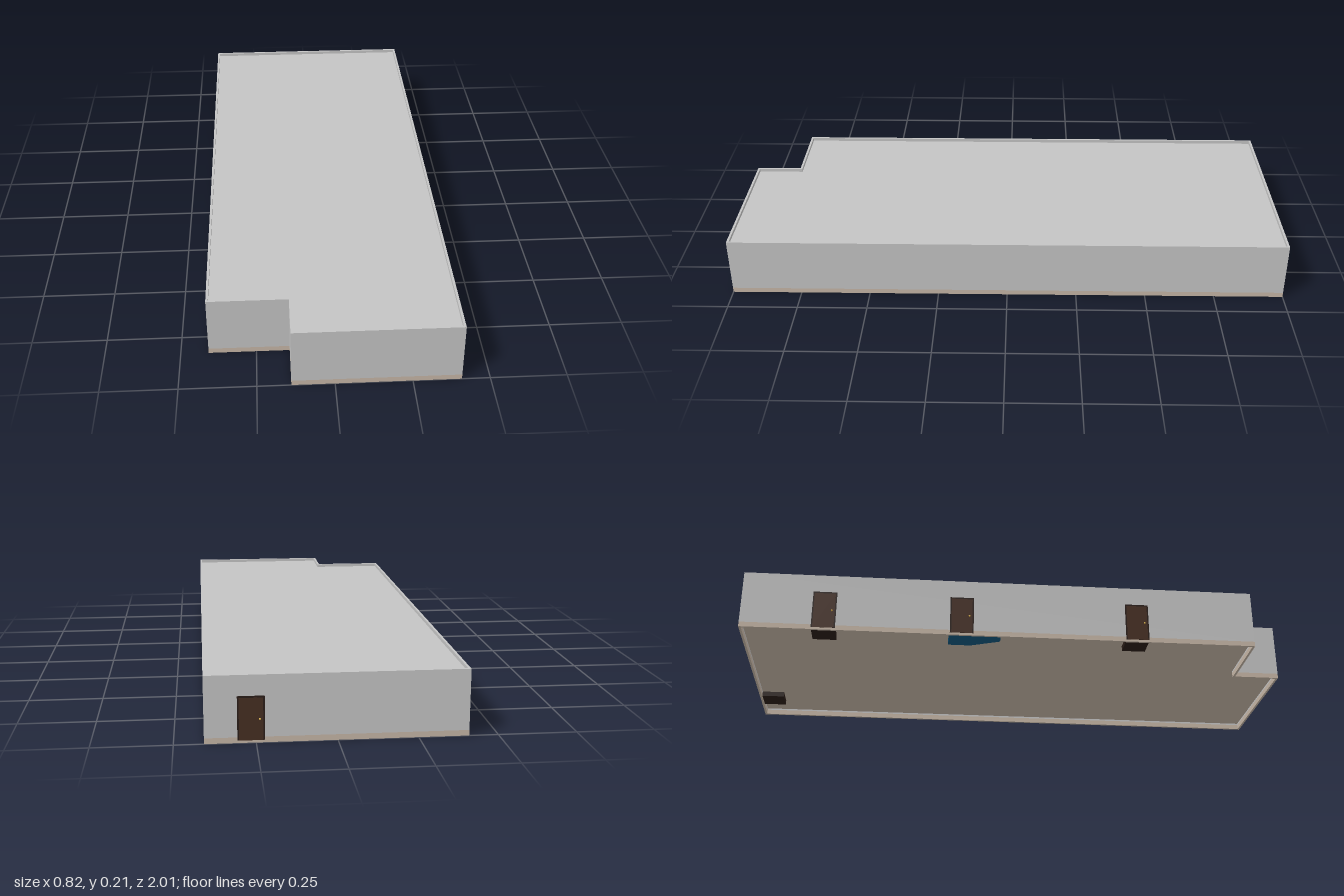
import * as THREE from 'three';

const material = (name, color) => {
  const m = new THREE.MeshStandardMaterial({ color });
  m.name = name;
  return m;
};

// Footprint with a notched front corner, inset by t; plan y is -z
function outline(t, Type = THREE.Shape) {
  const x = 0.408 - t, z = 1 - t, nx = -0.14 + t, nz = 0.832 - t;
  return new Type([
    [-x, -nz], [nx, -nz], [nx, -z], [x, -z], [x, z], [-x, z],
  ].map(([a, b]) => new THREE.Vector2(a, b)));
}

export function createModel() {
  const group = new THREE.Group();
  const grey = material('wall grey', 0xc4c4c4);
  const beige = material('base beige', 0xc6b6a6);
  const brown = material('door brown', 0x462e22);
  const dark = material('frame dark brown', 0x2a1d18);
  const blue = material('ramp blue', 0x14587e);
  const gold = material('knob gold', 0xd0a848);

  const add = (name, geometry, mat, x = 0, y = 0, z = 0, parent = group) => {
    const mesh = new THREE.Mesh(geometry, mat);
    mesh.name = name;
    mesh.position.set(x, y, z);
    parent.add(mesh);
    return mesh;
  };
  const box = (name, w, h, d, mat, x, y, z, parent) =>
    add(name, new THREE.BoxGeometry(w, h, d), mat, x, y, z, parent);

  // Horizontal slab or hollow ring following the footprint
  const storey = (name, y0, y1, inset, wall, mat) => {
    const shape = outline(inset);
    if (wall) shape.holes.push(outline(inset + wall, THREE.Path));
    const geometry = new THREE.ExtrudeGeometry(shape, { depth: y1 - y0, bevelEnabled: false });
    geometry.rotateX(-Math.PI / 2);
    add(name, geometry, mat, 0, y0, 0);
  };

  // Shell
  storey('skirting', 0, 0.018, 0, 0.008, beige);
  storey('walls', 0.018, 0.214, 0, 0.008, grey);
  storey('floor', 0.024, 0.03, 0.008, 0, beige);
  storey('roof', 0.194, 0.202, 0.008, 0, grey);

  // Doors face +z locally, then turn towards their wall
  const door = (x, z, turn) => {
    const d = new THREE.Group();
    d.name = 'door';
    d.position.set(x, 0, z);
    d.rotation.y = turn;
    box('doorFrame', 0.084, 0.14, 0.003, dark, 0, 0.078, 0, d);
    box('doorLeaf', 0.074, 0.134, 0.003, brown, 0, 0.075, 0.001, d);
    add('knob', new THREE.SphereGeometry(0.0035, 10, 8), gold, 0.027, 0.075, 0.003, d);
    group.add(d);
  };
  door(0.265, -0.999, Math.PI);
  for (const z of [-0.71, -0.225, 0.405]) door(-0.407, z, -Math.PI / 2);

  // Steps behind the doors, set into the floor
  const step = (x, z) => box('innerStep', 0.084, 0.027, 0.084, dark, x, 0.019, z);
  step(0.265, -0.95);
  step(-0.358, -0.71);
  step(-0.358, 0.405);

  // Ramp under the middle door and its side panels
  const wedge = new THREE.Shape([
    new THREE.Vector2(0, 0.03), new THREE.Vector2(0.22, 0.03),
    new THREE.Vector2(0.22, 0.004), new THREE.Vector2(0.14, 0.004),
  ]);
  const ramp = new THREE.ExtrudeGeometry(wedge, { depth: 0.084, bevelEnabled: false });
  ramp.rotateY(Math.PI / 2);
  add('ramp', ramp, blue, -0.4, 0, -0.05);
  for (const z of [-0.01, -0.63]) box('sidePanel', 0.004, 0.02, 0.24, blue, -0.398, 0.014, z);

  return group;
}
